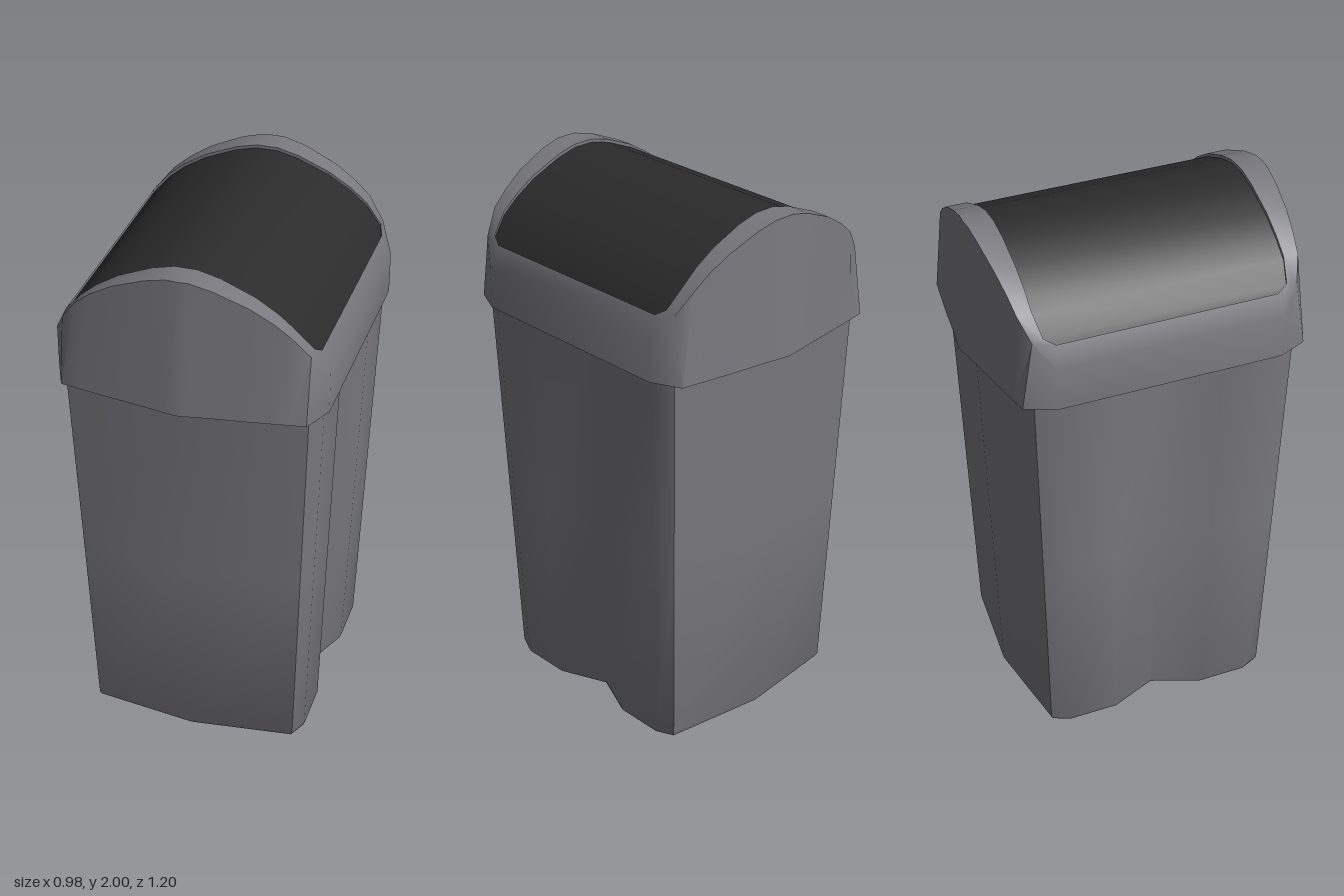
import * as THREE from 'three';
import { toCreasedNormals } from 'three/addons/utils/BufferGeometryUtils.js';

// Skin between rows of points; rows run anticlockwise seen from above, bottom to top
function loft(rows, closed) {
  const n = rows[0].length, index = [];
  for (let j = 0; j < rows.length - 1; j++) {
    for (let i = 0; i < (closed ? n : n - 1); i++) {
      const k = (i + 1) % n;
      const a = j * n + i, b = j * n + k, c = b + n, d = a + n;
      index.push(a, b, c, a, c, d);
    }
  }
  const g = new THREE.BufferGeometry();
  g.setAttribute('position', new THREE.Float32BufferAttribute(rows.flat(2), 3));
  g.setIndex(index);
  return toCreasedNormals(g, 0.8);
}

// Front half of the lid: x, arch height, rim depth, arch depth, opening edge x, y, z
const ARCH = [
  [0.49, 1.66, 0.42, 0.42, 0.455, 1.735, 0.41],
  [0.44, 1.75, 0.53, 0.49, 0.44, 1.76, 0.45],
  [0.38, 1.83, 0.54, 0.52, 0.38, 1.83, 0.465],
  [0.32, 1.88, 0.55, 0.53, 0.32, 1.88, 0.465],
  [0.24, 1.93, 0.563, 0.542, 0.24, 1.93, 0.465],
  [0.12, 1.98, 0.58, 0.555, 0.12, 1.98, 0.465],
  [0.04, 2.0, 0.594, 0.56, 0.04, 2.0, 0.465],
  [0, 2.0, 0.6, 0.562, 0, 2.0, 0.465],
];

// Mirror the arch to the other side, left to right across the front
const FRONT = [
  ...ARCH.map(([x, y, zr, zt, ix, iy, iz]) => [-x, y, zr, zt, -ix, iy, iz]),
  ...ARCH.slice(0, -1).reverse(),
];

// Half turn gives the back
const RING = [
  ...FRONT,
  ...FRONT.map(([x, y, zr, zt, ix, iy, iz]) => [-x, y, -zr, -zt, -ix, iy, -iz]),
];

function lidGeometry() {
  return loft([
    RING.map(([x, , zr]) => [x * 0.75, 1.5, zr * 0.75]), // underside
    RING.map(([x, , zr]) => [x, 1.5, zr]),               // rim
    RING.map(([x, y, , zt]) => [x, y, zt]),              // arch
    RING.map(([, , , , ix, iy, iz]) => [ix, iy, iz]),    // opening edge
    RING.map(([, , , , ix, iy, iz]) => [ix * 0.98, iy - 0.05, iz]), // inner lip
  ], true);
}

// Tapered bin with bowed ends and a shallow groove down each side
function bodyGeometry() {
  const quarter = [[0.345, 0], [0.42, 0.18], [0.42, 0.37], [0.39, 0.435], [0, 0.483]];
  const half = [...quarter, ...quarter.slice(1, -1).reverse().map(([x, z]) => [-x, z])];
  // anticlockwise from above: x positive side, then back, then front
  const outline = [...half, ...half.map(([x, z]) => [-x, -z])].reverse();
  const ring = (s, y) => outline.map(([x, z]) => [x * s, y, z * s]);
  return loft([
    ring(0, 0.012), ring(0.985, 0), ring(1, 0.015), ring(1.06, 0.76), ring(1.122, 1.52),
  ], true);
}

// Curved flap filling the opening just below the lid surface
function flapGeometry() {
  const curve = FRONT.map(([, , , , ix, iy]) => [ix, iy - 0.012]);
  return loft([
    curve.map(([x, y]) => [x, y, 0.464]),
    curve.map(([x, y]) => [x, y, -0.464]),
  ], false);
}

export function createModel() {
  const grey = new THREE.MeshStandardMaterial({ color: 0x79787e, side: THREE.DoubleSide });
  grey.name = 'grey plastic';
  const black = new THREE.MeshStandardMaterial({ color: 0x2b2b2b, side: THREE.DoubleSide });
  black.name = 'black plastic';

  const group = new THREE.Group();
  group.name = 'swingLidBin';
  const add = (name, geometry, material) => {
    const mesh = new THREE.Mesh(geometry, material);
    mesh.name = name;
    group.add(mesh);
  };
  add('body', bodyGeometry(), grey);
  add('lid', lidGeometry(), grey);
  add('flap', flapGeometry(), black);
  return group;
}
